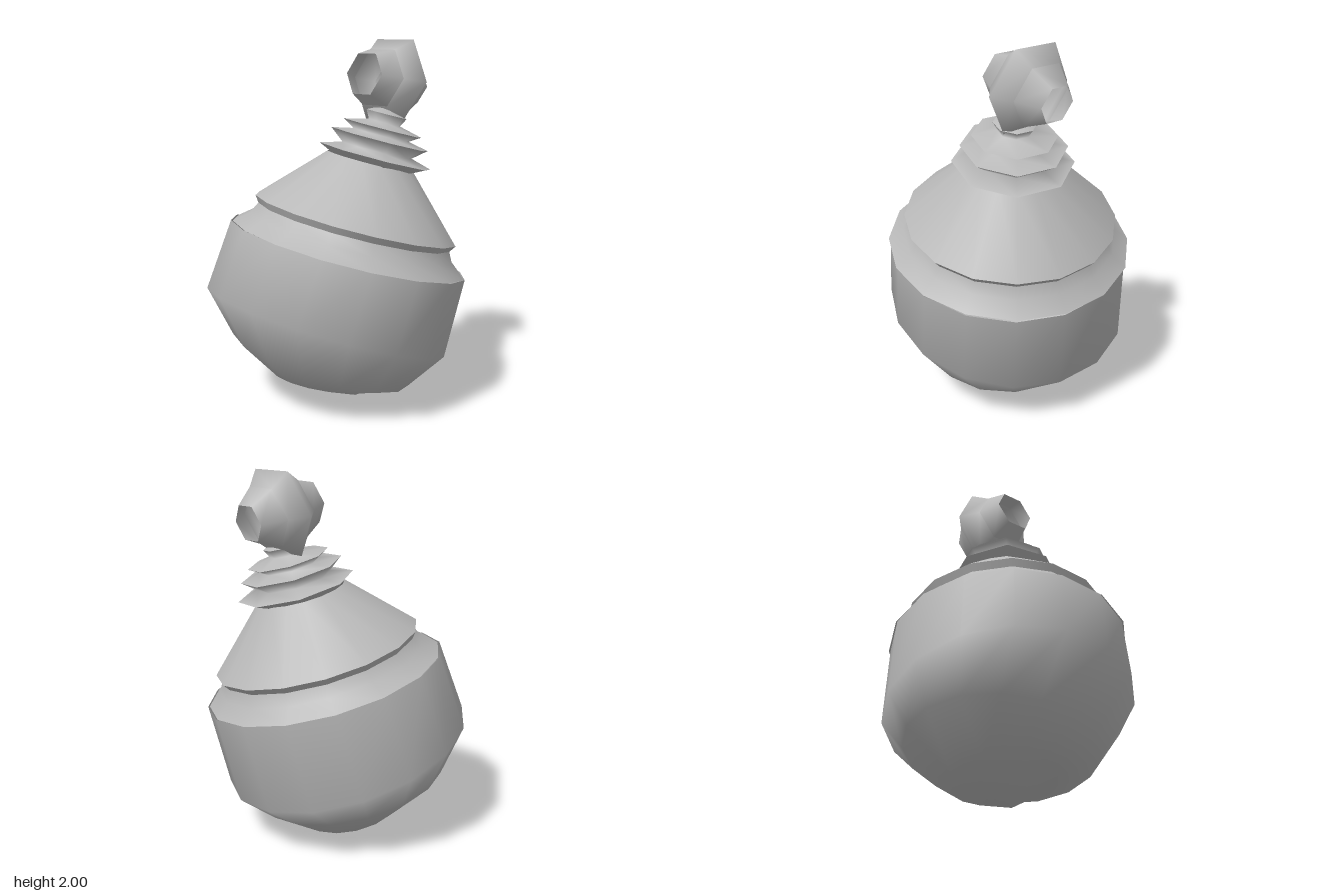
import * as THREE from 'three';

const grey = new THREE.MeshStandardMaterial({ color: 0xb8b8b8, side: THREE.DoubleSide });
grey.name = 'plain grey';

const SLOPE_X = 0.23, SLOPE_Z = 0.137;
const STRETCH = Math.hypot(1, SLOPE_X, SLOPE_Z);
const PHASE = THREE.MathUtils.degToRad(7.5);

function part(name, geometry) {
  const mesh = new THREE.Mesh(geometry, grey);
  mesh.name = name;
  return mesh;
}

// One smooth band of revolution; separate bands meet in a sharp edge.
function band(name, points, sides, phase = 0) {
  const profile = points.map(([r, y]) => new THREE.Vector2(r, y));
  return part(name, new THREE.LatheGeometry(profile, sides, phase));
}

// Skin over tilted elliptical rings: [centre x, y, z, radius x, radius z, slope x, slope z]
function loft(name, rings, sides) {
  const positions = [], index = [];
  rings.forEach(([cx, cy, cz, rx, rz, sx, sz], k) => {
    for (let i = 0; i < sides; i++) {
      const a = (i / sides) * Math.PI * 2 - PHASE;
      const dx = rx * Math.cos(a), dz = rz * Math.sin(a);
      positions.push(cx + dx, cy - sx * dx - sz * dz, cz + dz);
      if (k === 0) continue;
      const next = (i + 1) % sides, low = (k - 1) * sides, high = k * sides;
      index.push(low + i, high + i, low + next, low + next, high + i, high + next);
    }
  });
  const geometry = new THREE.BufferGeometry();
  geometry.setAttribute('position', new THREE.Float32BufferAttribute(positions, 3));
  geometry.setIndex(index);
  geometry.computeVertexNormals();
  return part(name, geometry);
}

export function createModel() {
  const model = new THREE.Group();
  model.name = 'leaningBottle';

  // Lopsided belly, from the off-centre bottom tip up to the shoulder edge
  model.add(loft('belly', [
    [0.07, 0.003, 0.09, 0, 0, 0, 0],
    [-0.045, 0.095, -0.07, 0.28, 0.28, 0.22, 0.05],
    [-0.045, 0.24, -0.075, 0.47, 0.53, 0.22, 0.17],
    [-0.05, 0.46, -0.025, 0.645, 0.675, 0.32, 0.105],
    [0.05, 0.872, 0.05, 0.64, 0.651, SLOPE_X, SLOPE_Z]
  ], 16));

  // Leaning upper flask: profile heights are measured along the tilted axis
  const flask = new THREE.Group();
  flask.name = 'upperFlask';
  flask.quaternion.setFromUnitVectors(
    new THREE.Vector3(0, 1, 0),
    new THREE.Vector3(SLOPE_X, 1, SLOPE_Z).normalize()
  );
  flask.position.set(0.05 - SLOPE_X * 0.872, 0, 0.05 - SLOPE_Z * 0.872);
  model.add(flask);

  const lean = (name, points, sides) =>
    band(name, points.map(([r, y]) => [r, y * STRETCH]), sides, PHASE);

  flask.add(
    lean('shoulder', [[0.657, 0.872], [0.577, 0.935], [0.545, 0.995]], 16),
    lean('lipUnderside', [[0.545, 0.995], [0.57, 1.03]], 16),
    lean('cone', [[0.57, 1.03], [0.245, 1.345]], 16)
  );

  // Neck of stacked collars: each piece dips into a notch between two sharp rims
  const neck = new THREE.Group();
  neck.name = 'neck';
  neck.position.set(0.012, 0, 0.015);
  flask.add(neck);
  const rims = [[0.32, 1.378], [0.278, 1.47], [0.222, 1.53], [0.115, 1.605]];
  const notches = [[0.2, 1.41], [0.16, 1.493], [0.09, 1.56]];
  neck.add(lean('neckBase', [[0.235, 1.34], rims[0]], 8));
  notches.forEach((notch, i) => neck.add(lean('collar' + (i + 1), [rims[i], notch, rims[i + 1]], 8)));
  neck.add(lean('neckTop', [rims[3], [0.05, 1.635], [0, 1.64]], 8));

  // Open six-sided stopper lying across the neck
  const stopper = new THREE.Group();
  stopper.name = 'stopper';
  stopper.position.set(0.29, 1.78, 0.13);
  stopper.rotation.z = THREE.MathUtils.degToRad(-101.5);
  stopper.add(
    band('stopperRightEnd', [[0.125, -0.21], [0.175, -0.09]], 6),
    band('stopperMiddle', [[0.175, -0.09], [0.258, 0.003], [0.178, 0.09]], 6),
    band('stopperLeftEnd', [[0.178, 0.09], [0.105, 0.207]], 6)
  );
  model.add(stopper);

  return model;
}
